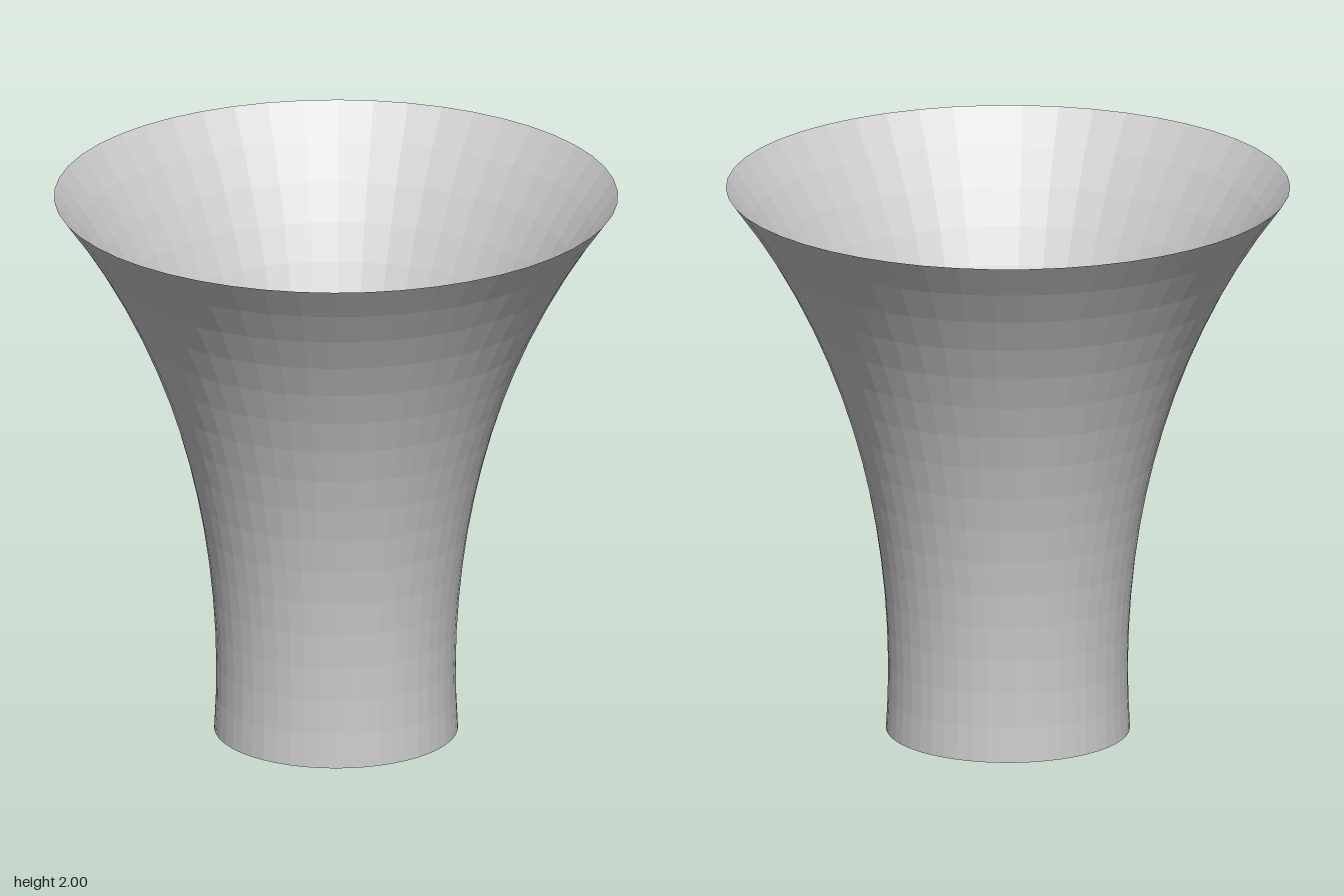
import * as THREE from 'three';

const HEIGHT = 2;
const BANDS = 16;
const SIDES = 50;
const WAIST_RADIUS = 0.425;
const WAIST_HEIGHT = 0.22;
const RIM_RADIUS = 1;

export function createModel() {
  const group = new THREE.Group();
  group.name = 'flaredFunnel';

  // Catenary profile: narrow waist just above the foot, wide flare at the rim
  const scale = (HEIGHT - WAIST_HEIGHT) / Math.acosh(RIM_RADIUS / WAIST_RADIUS);
  const profile = [];
  for (let i = 0; i <= BANDS; i++) {
    const y = (HEIGHT * i) / BANDS;
    profile.push(new THREE.Vector2(WAIST_RADIUS * Math.cosh((y - WAIST_HEIGHT) / scale), y));
  }

  // Thin faceted wall, open at both ends
  const wall = new THREE.Mesh(
    new THREE.LatheGeometry(profile, SIDES),
    new THREE.MeshStandardMaterial({ color: 0xcccccc, flatShading: true, side: THREE.DoubleSide })
  );
  wall.name = 'flaredWall';
  group.add(wall);

  return group;
}
